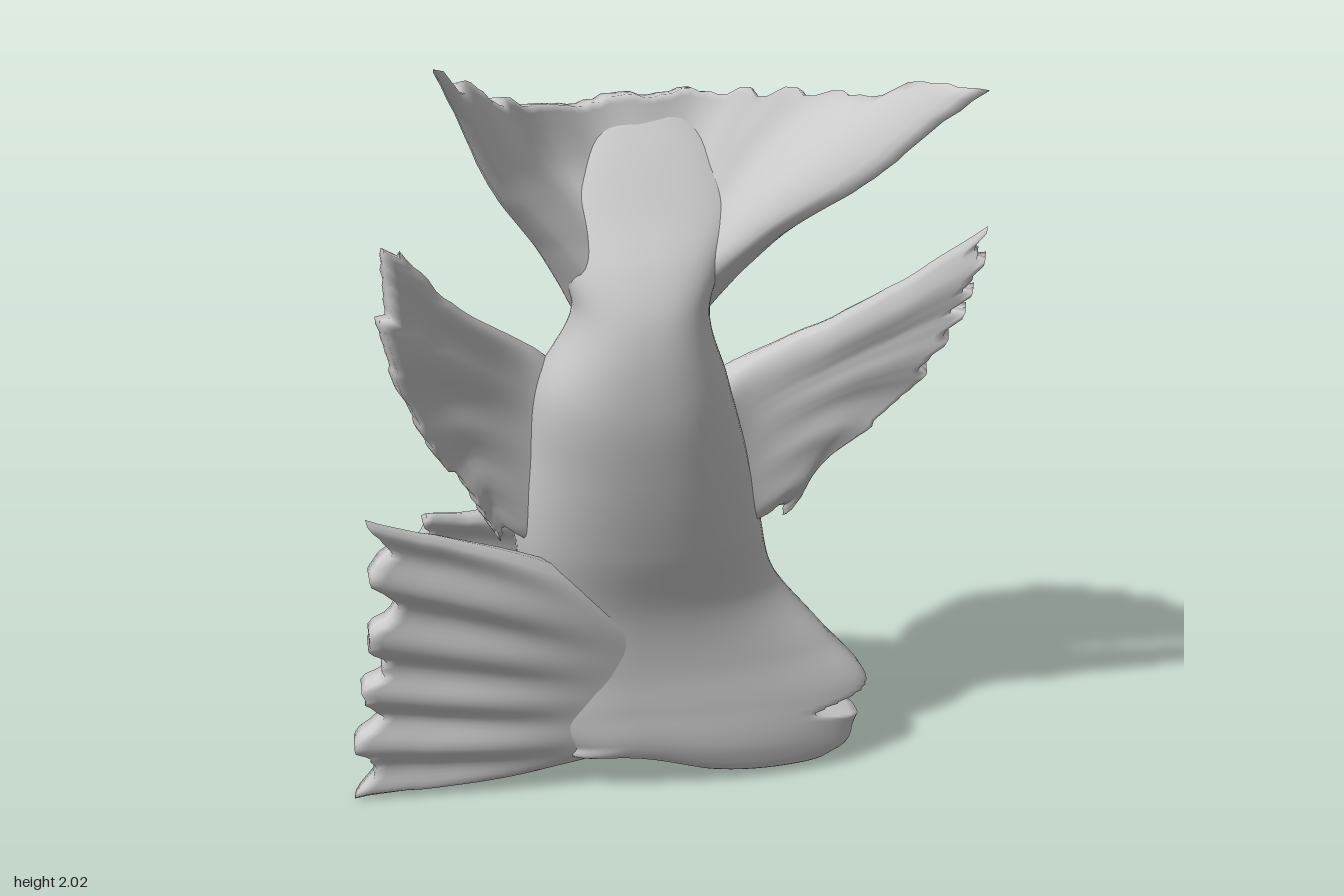
import * as THREE from 'three';

const V = (p) => new THREE.Vector3(...p);
const material = new THREE.MeshStandardMaterial({ color: 0xcccccc, side: THREE.DoubleSide });

// repeatable noise in 0..1
const noise = (i) => {
  const s = Math.sin(i * 127.1 + 11.7) * 43758.5453;
  return s - Math.floor(s);
};

// Skin a list of closed rings (each end ring is collapsed to a line or point), facing outwards
function loft(name, rings) {
  const m = rings[0].length, pos = [], idx = [];
  rings.forEach((r) => r.forEach((p) => pos.push(p.x, p.y, p.z)));
  for (let i = 0; i < rings.length - 1; i++) {
    for (let j = 0; j < m; j++) {
      const k = (j + 1) % m;
      const a = i * m + j, b = i * m + k, c = a + m, d = b + m;
      idx.push(a, b, d, a, d, c);
    }
  }
  const at = (i) => new THREE.Vector3().fromArray(pos, idx[i] * 3);
  let volume = 0;
  for (let i = 0; i < idx.length; i += 3) volume += at(i).dot(at(i + 1).cross(at(i + 2)));
  if (volume < 0) idx.reverse();
  const g = new THREE.BufferGeometry();
  g.setAttribute('position', new THREE.Float32BufferAttribute(pos, 3));
  g.setIndex(idx);
  g.computeVertexNormals();
  const mesh = new THREE.Mesh(g, material);
  mesh.name = name;
  return mesh;
}

// Body: egg-shaped level sections, leaning back, swelling into the sideways head
// and flattening into the root of the tail
function body() {
  // y, centre x, centre z, reach to -x, +x, -z, +z
  const table = [
    [0.03, 0.2, -0.07, 0.12, 0.30, 0.08, 0.05],
    [0.06, 0, -0.07, 0.13, 0.55, 0.20, 0.07],
    [0.12, 0, -0.07, 0.18, 0.57, 0.30, 0.09],
    [0.25, 0, -0.07, 0.25, 0.60, 0.38, 0.10],
    [0.38, 0, -0.08, 0.26, 0.50, 0.36, 0.12],
    [0.56, 0, -0.10, 0.27, 0.36, 0.31, 0.18],
    [0.77, 0, -0.06, 0.29, 0.30, 0.27, 0.23],
    [1.0, -0.01, 0.03, 0.26, 0.25, 0.23, 0.22],
    [1.2, -0.02, 0.11, 0.23, 0.20, 0.18, 0.19],
    [1.4, -0.02, 0.17, 0.155, 0.145, 0.125, 0.13],
    [1.5, -0.01, 0.15, 0.19, 0.17, 0.10, 0.11],
    [1.6, 0, 0.12, 0.20, 0.20, 0.07, 0.07],
    [1.72, 0, 0.06, 0.16, 0.16, 0.03, 0.05],
    [1.8, 0, 0.04, 0.08, 0.08, 0.01, 0.01],
  ];
  const curve = new THREE.CubicInterpolant(
    table.map((r) => r[0]), table.flatMap((r) => r.slice(1)), 6);
  const rings = [], n = 150, m = 64;
  for (let i = -1; i <= n + 1; i++) {
    const y = 0.03 + 1.77 * Math.pow(THREE.MathUtils.clamp(i / n, 0, 1), 1.3);
    const [cx, cz, xl, xr, zb, zf] = curve.evaluate(y);
    const open = i < 0 || i > n ? 0 : 1;
    // mouth slit cut into the end of the head
    const cap = 0.6 - 0.15 * Math.exp(-(((y - 0.19) / 0.028) ** 2));
    const ring = [];
    for (let j = 0; j < m; j++) {
      const t = (j / m) * Math.PI * 2, c = Math.cos(t), s = Math.sin(t);
      const e = c > 0 && s < 0 ? 1 : 0.88;
      const ex = Math.sign(c) * Math.abs(c) ** e, ez = Math.sign(s) * Math.abs(s) ** e;
      const x = Math.min(cap, cx + open * ex * (c > 0 ? xr : xl));
      const z = cz + open * ez * (s > 0 ? zf : zb);
      const lift = 0.07 * Math.exp(-(((x + 0.04) / 0.2) ** 2)) * Math.max(0, 1 - y / 0.3);
      ring.push(new THREE.Vector3(x, y + lift, z));
    }
    rings.push(ring);
  }
  return loft('body', rings);
}

// Fin: a thick sheet through rails running from root to outer edge, with ribs and a ragged rim
function fin(name, rails, { thick, ribs, ripple, scallop = 0, jag, seed }) {
  const curves = rails.map((r) => new THREE.CatmullRomCurve3(r.map(V)));
  const point = (u, v) =>
    new THREE.CatmullRomCurve3(curves.map((c) => c.getPoint(v))).getPoint(u);
  const nu = 26, nv = 60, rings = [];
  for (let i = -1; i <= nu + 1; i++) {
    const u0 = THREE.MathUtils.clamp(i / nu, 0, 1), front = [], back = [];
    for (let j = 0; j <= nv; j++) {
      const rib = Math.cos((j / nv) * ribs * Math.PI * 2);
      const cut = jag * noise(Math.floor(j / 2) + seed) + scallop * (0.5 - 0.5 * rib);
      const u = u0 * (1 - cut * u0 * u0);
      const v = 0.5 + (j / nv - 0.5) * (1 - 0.5 * jag * u0 * noise(Math.floor(i / 2) + seed + 90));
      const p = point(u, v), e = 0.01;
      const du = point(Math.min(1, u + e), v).sub(point(Math.max(0, u - e), v));
      const dv = point(u, Math.min(1, v + e)).sub(point(u, Math.max(0, v - e)));
      const normal = du.cross(dv).normalize();
      const closed = i < 0 || i > nu ? 0 : 1;
      const half = closed * THREE.MathUtils.lerp(thick[1], thick[0], (1 - u0) ** 1.4) *
        Math.sqrt(Math.max(0, 1 - Math.abs((2 * j) / nv - 1) ** 8));
      p.addScaledVector(normal, ripple * THREE.MathUtils.smoothstep(u0, 0.25, 0.8) * rib);
      front.push(p.clone().addScaledVector(normal, half));
      back.unshift(p.clone().addScaledVector(normal, -half));
    }
    rings.push([...front, ...back.slice(1, -1)]);
  }
  return loft(name, rings);
}

export function createModel() {
  const model = new THREE.Group();
  model.name = 'fish';
  model.add(body());

  // tail fan, cupped towards the front and thick at its root
  model.add(fin('tailFin', [
    [[-0.12, 1.38, 0.19], [-0.08, 1.38, 0.15], [-0.02, 1.38, 0.13], [0.04, 1.38, 0.15], [0.08, 1.38, 0.19]],
    [[-0.24, 1.56, 0.23], [-0.14, 1.56, 0.12], [0, 1.56, 0.09], [0.14, 1.56, 0.12], [0.27, 1.56, 0.23]],
    [[-0.36, 1.74, 0.31], [-0.2, 1.7, 0.1], [0, 1.7, 0.05], [0.22, 1.7, 0.1], [0.46, 1.72, 0.33]],
    [[-0.47, 2.02, 0.45], [-0.36, 1.91, 0.24], [-0.2, 1.85, 0.08], [0, 1.84, 0.03], [0.22, 1.84, 0.04], [0.45, 1.86, 0.18], [0.66, 1.95, 0.46]],
  ], { thick: [0.08, 0.022], ribs: 5, ripple: 0.005, jag: 0.06, seed: 3 }));

  // swept side fins
  model.add(fin('leftSideFin', [
    [[0.1, 1.14, 0.08], [0.14, 0.92, 0.02], [0.18, 0.74, -0.03]],
    [[0.24, 1.22, 0.07], [0.28, 1.0, 0.04], [0.28, 0.76, 0]],
    [[0.48, 1.38, 0.18], [0.47, 1.12, 0.11], [0.34, 0.8, 0.01]],
    [[0.72, 1.6, 0.31], [0.7, 1.4, 0.26], [0.6, 1.14, 0.15], [0.42, 0.92, 0.05], [0.35, 0.75, -0.01]],
  ], { thick: [0.06, 0.02], ribs: 4, ripple: 0.004, jag: 0.07, seed: 17 }));
  model.add(fin('rightSideFin', [
    [[-0.1, 1.14, 0.08], [-0.14, 0.92, 0.02], [-0.18, 0.74, -0.03]],
    [[-0.25, 1.28, 0.09], [-0.28, 1.02, 0.05], [-0.27, 0.76, 0]],
    [[-0.42, 1.43, 0.2], [-0.42, 1.12, 0.11], [-0.32, 0.8, 0.01]],
    [[-0.58, 1.65, 0.31], [-0.6, 1.4, 0.27], [-0.51, 1.1, 0.14], [-0.4, 0.9, 0.06], [-0.33, 0.75, 0]],
  ], { thick: [0.06, 0.02], ribs: 4, ripple: 0.004, jag: 0.07, seed: 29 }));

  // two broad ribbed fins growing out of the body beside the head
  model.add(fin('frontBroadFin', [
    [[0.08, 0.48, -0.06], [0.1, 0.3, -0.1], [0.06, 0.13, -0.12]],
    [[-0.26, 0.76, 0.1], [-0.28, 0.4, 0], [-0.28, 0.05, -0.1]],
    [[-0.66, 0.95, 0.19], [-0.65, 0.73, 0.12], [-0.68, 0.48, 0.03], [-0.7, 0.25, -0.05], [-0.72, 0, -0.12]],
  ], { thick: [0.1, 0.024], ribs: 5, ripple: 0.011, scallop: 0.07, jag: 0.03, seed: 41 }));
  model.add(fin('backBroadFin', [
    [[0.02, 0.72, -0.18], [0.02, 0.4, -0.3], [0.02, 0.18, -0.28]],
    [[-0.27, 0.77, -0.13], [-0.3, 0.4, -0.33], [-0.3, 0.08, -0.38]],
    [[-0.51, 0.81, -0.09], [-0.56, 0.6, -0.17], [-0.58, 0.4, -0.24], [-0.6, 0.22, -0.31], [-0.6, 0.04, -0.36]],
  ], { thick: [0.1, 0.024], ribs: 5, ripple: 0.01, scallop: 0.06, jag: 0.03, seed: 57 }));

  return model;
}
